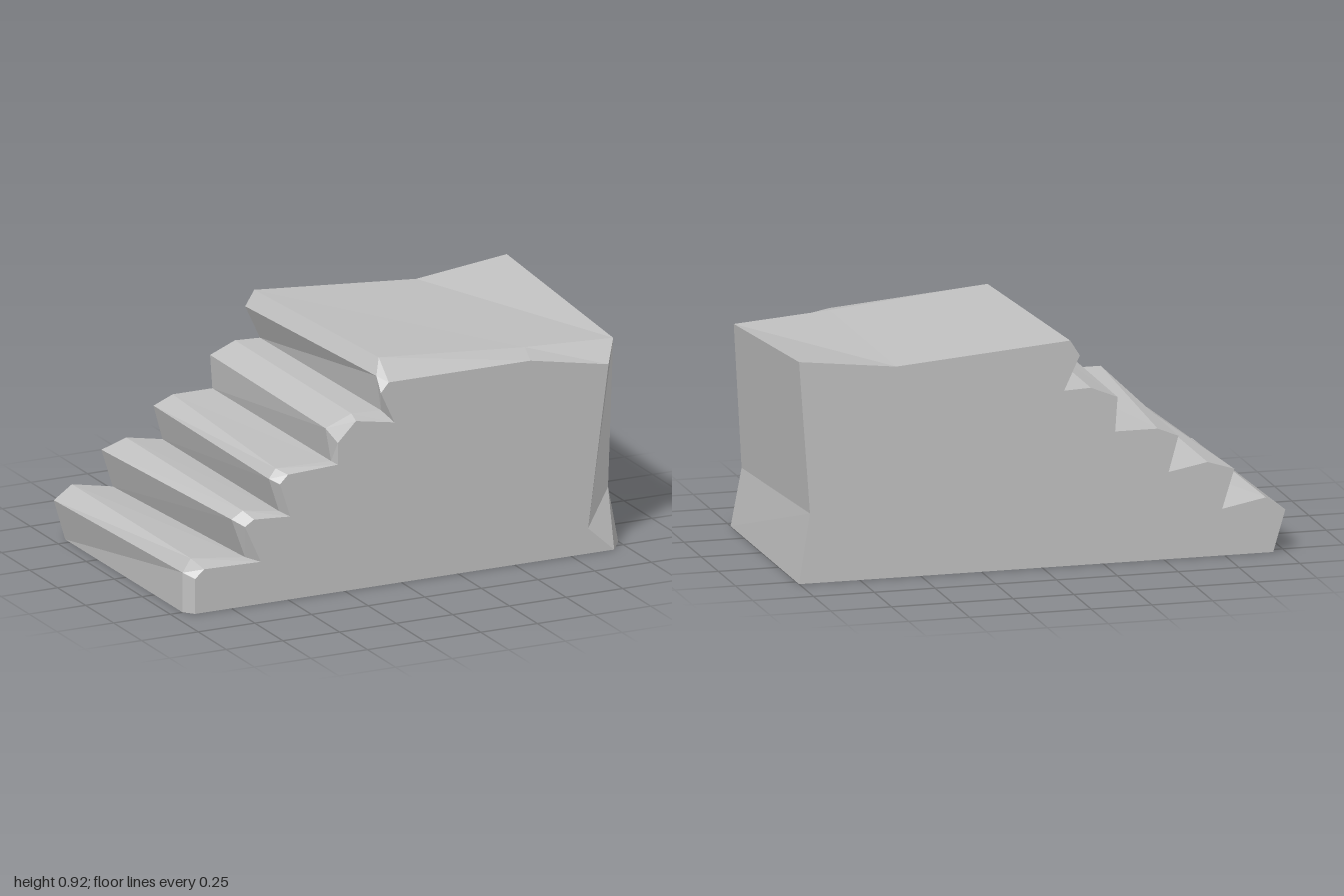
import * as THREE from 'three';

// Outlines run from the lower left corner, up the five steps, over the landing and down the right wall.
const BACK = [
  [-0.95, 0], [-1, 0.17], [-0.92, 0.225],
  [-0.74, 0.19], [-0.79, 0.35], [-0.68, 0.385],
  [-0.52, 0.355], [-0.56, 0.5], [-0.475, 0.535],
  [-0.3, 0.535], [-0.31, 0.675], [-0.2, 0.72],
  [-0.09, 0.715], [-0.155, 0.855], [-0.115, 0.918],
  [0.6, 0.86], [1, 0.905], [0.955, 0.285], [1, 0],
];
// Rim where the worn front bevel begins; third value is depth
const RIM = [
  [-0.945, 0, 0.5], [-0.945, 0.165, 0.5], [-0.91, 0.22, 0.5],
  [-0.67, 0.19, 0.5], [-0.73, 0.355, 0.5], [-0.68, 0.385, 0.5],
  [-0.52, 0.36, 0.5], [-0.565, 0.5, 0.5], [-0.535, 0.54, 0.5],
  [-0.29, 0.535, 0.5], [-0.315, 0.675, 0.5], [-0.2, 0.72, 0.5],
  [-0.07, 0.715, 0.5], [-0.09, 0.86, 0.5], [-0.055, 0.918, 0.45],
  [0.6, 0.86, 0.43], [1, 0.835, 0.41], [0.955, 0.235, 0.455], [1, 0, 0.455],
];
const FRONT = [
  [-0.91, 0], [-0.91, 0.145], [-0.87, 0.18],
  [-0.62, 0.175], [-0.69, 0.33], [-0.65, 0.355],
  [-0.49, 0.345], [-0.535, 0.485], [-0.5, 0.52],
  [-0.28, 0.53], [-0.28, 0.62], [-0.2, 0.7],
  [-0.03, 0.67], [-0.09, 0.8], [-0.055, 0.84],
  [0.57, 0.84], [0.915, 0.775], [0.825, 0.105], [0.94, 0],
];
const DEPTH = 0.54;

// Faceted strip joining two outlines between two points
function strip(a, b, za, zb, from, to) {
  const pos = [];
  const at = (p, z) => [p[0], p[1], p[2] ?? z];
  for (let i = from; i < to; i++) {
    const a0 = at(a[i], za), a1 = at(a[i + 1], za);
    const b0 = at(b[i], zb), b1 = at(b[i + 1], zb);
    pos.push(...a0, ...b0, ...b1, ...a0, ...b1, ...a1);
  }
  const g = new THREE.BufferGeometry();
  g.setAttribute('position', new THREE.Float32BufferAttribute(pos, 3));
  g.computeVertexNormals();
  return g;
}

// Flat wall filling an outline
function wall(outline, z) {
  const shape = new THREE.Shape(outline.map(([x, y]) => new THREE.Vector2(x, y)));
  return new THREE.ShapeGeometry(shape).translate(0, 0, z);
}

export function createModel() {
  const group = new THREE.Group();
  group.name = 'stoneStairs';
  const stone = new THREE.MeshStandardMaterial({ color: 0xc0c0c0 });
  stone.name = 'stone grey';
  stone.flatShading = true;
  stone.side = THREE.DoubleSide; // hollow, open underneath

  const add = (name, geometry) => {
    const mesh = new THREE.Mesh(geometry, stone);
    mesh.name = name;
    group.add(mesh);
    return mesh;
  };

  // Outer shell and its bevelled front edge, part by part
  const parts = [['step1', 0, 3], ['step2', 3, 6], ['step3', 6, 9], ['step4', 9, 12],
    ['step5', 12, 14], ['landing', 14, 16], ['rightWall', 16, 18]];
  for (const [name, from, to] of parts) {
    add(name, strip(BACK, RIM, -DEPTH, 0, from, to));
    add(name + 'Bevel', strip(RIM, FRONT, 0, DEPTH, from, to));
  }

  // Front and back walls
  add('frontWall', wall(FRONT, DEPTH));
  const mirrored = BACK.map(([x, y]) => [-x, y]);
  add('backWall', wall(mirrored, DEPTH).rotateY(Math.PI));
  return group;
}
